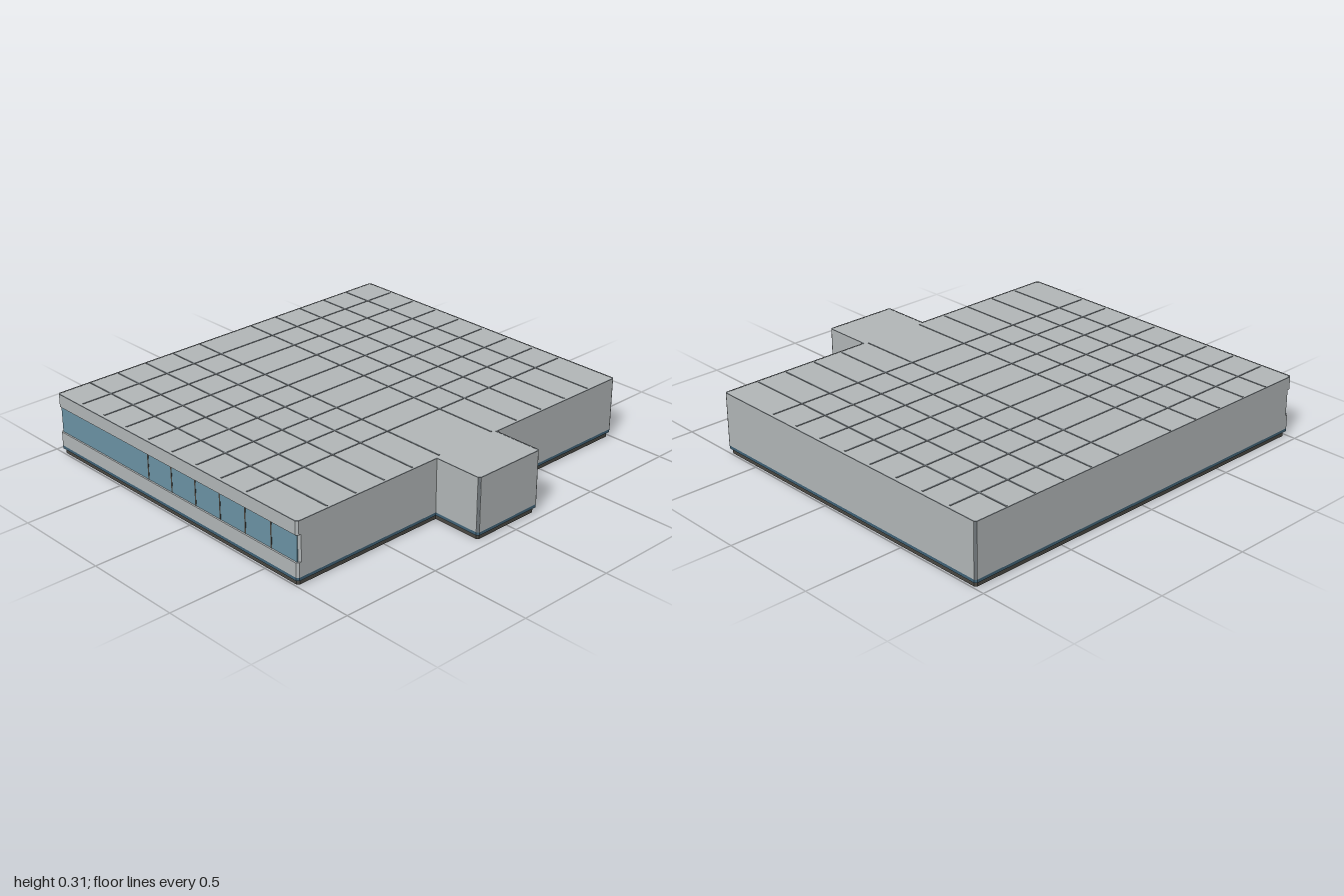
import * as THREE from 'three';

const mat = (name, color) => {
  const m = new THREE.MeshStandardMaterial({ color });
  m.name = name;
  return m;
};

// T-shaped footprint with small chamfers on the outer corners
const EAST = 1, BACK = -0.955, FRONT = 0.705, PORCH = 0.955, PX0 = -0.195, PX1 = 0.187;
function outline(inset = 0, west = -1, c = 0.01) {
  const w = west + inset, e = EAST - inset, b = BACK + inset, f = FRONT - inset;
  const p = PORCH - inset, l = PX0 + inset, r = PX1 - inset;
  return [
    [w, f - c], [w + c, f], [l, f], [l, p - c], [l + c, p], [r - c, p], [r, p - c], [r, f],
    [e - c, f], [e, f - c], [e, b + c], [e - c, b], [w + c, b], [w, b + c],
  ].map(([x, z]) => new THREE.Vector2(x, -z));
}

function slab(name, material, y0, y1, points, hole) {
  const shape = new THREE.Shape(points);
  if (hole) shape.holes.push(new THREE.Path(hole));
  const g = new THREE.ExtrudeGeometry(shape, { depth: y1 - y0, bevelEnabled: false });
  g.rotateX(-Math.PI / 2);
  g.translate(0, y0, 0);
  const m = new THREE.Mesh(g, material);
  m.name = name;
  return m;
}

function box(name, material, w, h, d, x, y, z) {
  const m = new THREE.Mesh(new THREE.BoxGeometry(w, h, d), material);
  m.name = name;
  m.position.set(x, y, z);
  return m;
}

export function createModel() {
  const wall = mat('pale grey panel', 0xb3b8b9);
  const seam = mat('seam grey', 0x70767a);
  const band = mat('blue base band', 0x426478);
  const glass = mat('window glass', 0x6c94a6);
  const dark = mat('dark foundation', 0x4a4842);

  const model = new THREE.Group();
  model.name = 'flatRoofBuilding';

  // Foundation, blue band and walls; the middle course is recessed on the window side
  const Y0 = 0.04, SILL = 0.11, HEAD = 0.24, TOP = 0.304;
  model.add(
    slab('foundation', dark, 0, 0.025, outline(0.01)),
    slab('baseBand', band, 0.025, Y0, outline(0)),
    slab('lowerWall', wall, Y0, SILL, outline(0)),
    slab('middleWall', wall, SILL, HEAD, outline(0, -0.988)),
    slab('upperWall', wall, HEAD, TOP, outline(0)),
    slab('roofEdge', seam, TOP, TOP + 0.001, outline(0), outline(0.006)),
  );

  // Ribbon window with mullions toward the front half
  const windows = new THREE.Group();
  windows.name = 'ribbonWindow';
  const mid = (SILL + HEAD) / 2, h = HEAD - SILL;
  windows.add(box('windowGlass', glass, 0.006, h, 1.64, -0.989, mid, (BACK + FRONT) / 2));
  for (let i = 0; i < 6; i++) {
    windows.add(box('mullion', dark, 0.008, h, 0.008, -0.989, mid, -0.29 + i * 0.165));
  }
  model.add(windows);

  // Narrow seams along the chamfered vertical corners
  const corners = [
    [EAST, FRONT, 1, 1], [EAST, BACK, 1, -1], [PX0, PORCH, -1, 1], [PX1, PORCH, 1, 1],
  ];
  for (const [x, z, sx, sz] of corners) {
    const s = box('cornerSeam', seam, 0.012, TOP - Y0, 0.002,
      x - sx * 0.005, (TOP + Y0) / 2, z - sz * 0.005);
    s.rotation.y = Math.atan2(sx, sz);
    model.add(s);
  }

  // Roof panel joints
  const joints = new THREE.Group();
  joints.name = 'roofJoints';
  const zMid = (-0.945 + 0.69) / 2, zLen = 0.69 + 0.945;
  for (const x of [0.165, 0.33, 0.495, 0.66, 0.82]) {
    for (const s of [-1, 1]) {
      joints.add(box('roofJoint', seam, 0.008, 0.002, zLen, s * x, TOP + 0.001, zMid));
    }
  }
  for (const z of [-0.785, -0.62, -0.458, -0.292, -0.127, 0.04, 0.205, 0.37]) {
    joints.add(box('roofJoint', seam, 1.96, 0.0024, 0.008, 0, TOP + 0.001, z));
  }
  model.add(joints);

  return model;
}
